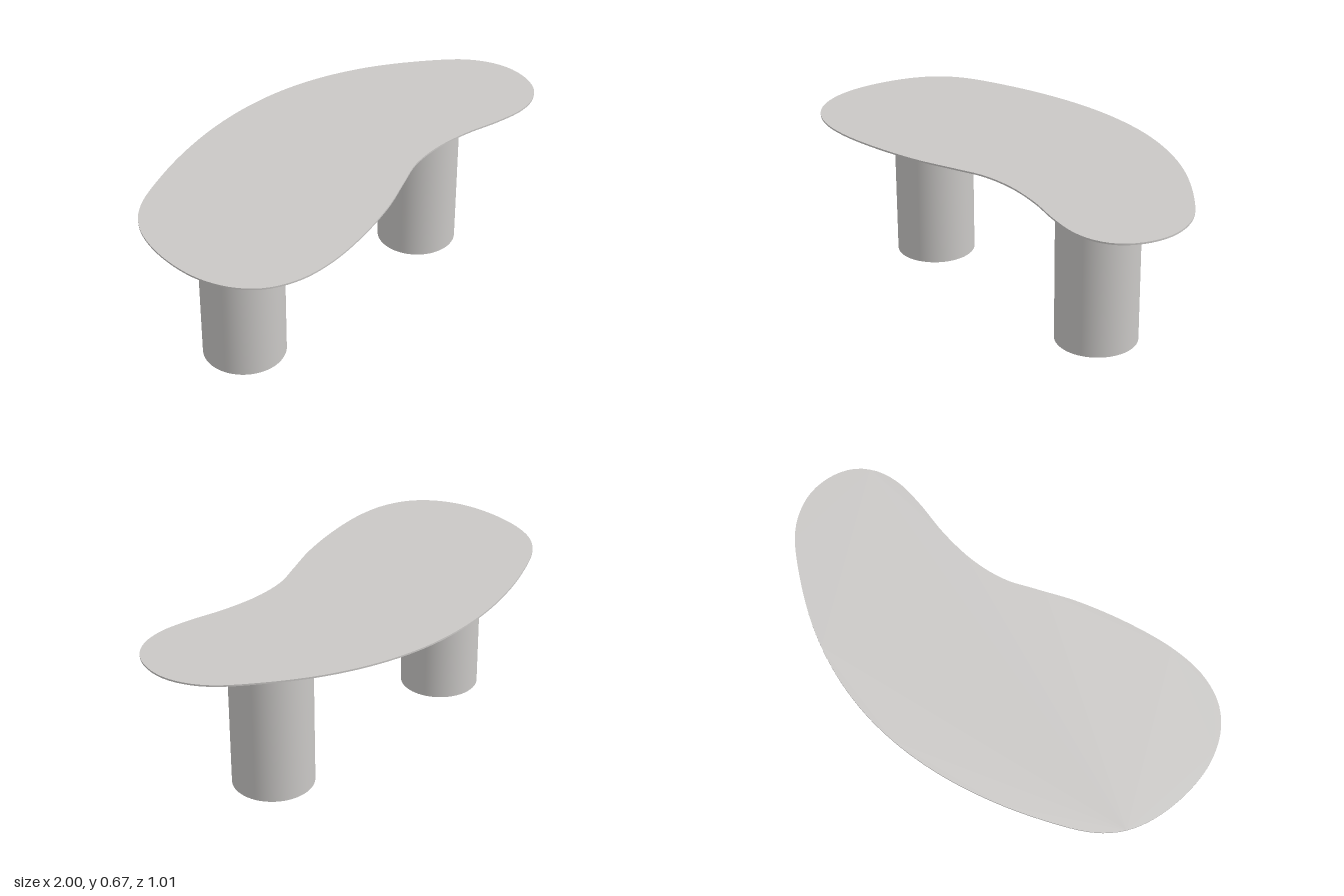
import * as THREE from 'three';

const SEGMENTS = 160;

// Kidney-shaped outline of the table top as (x, z) points
const OUTLINE = [
  [0, -0.507], [0.2, -0.488], [0.4, -0.433], [0.6, -0.338], [0.8, -0.195],
  [0.93, -0.07], [0.985, 0.035], [1, 0.13], [0.98, 0.23], [0.93, 0.31],
  [0.85, 0.36], [0.75, 0.376], [0.62, 0.358], [0.45, 0.316], [0.28, 0.297],
  [0.13, 0.312], [0, 0.36], [-0.17, 0.425], [-0.4, 0.481], [-0.6, 0.503],
  [-0.75, 0.487], [-0.87, 0.43], [-0.95, 0.335], [-0.994, 0.2], [-0.992, 0.03],
  [-0.95, -0.13], [-0.89, -0.23], [-0.8, -0.307], [-0.6, -0.396],
  [-0.4, -0.458], [-0.2, -0.496],
];

export function createModel() {
  const model = new THREE.Group();
  const material = new THREE.MeshStandardMaterial({ color: 0xcac8c6 });
  material.name = 'warmLightGrey';

  const add = (name, geometry, parent) => {
    const mesh = new THREE.Mesh(geometry, material);
    mesh.name = name;
    parent.add(mesh);
    return mesh;
  };

  const curve = new THREE.CatmullRomCurve3(
    OUTLINE.map(([x, z]) => new THREE.Vector3(x, 0, z)), true, 'centripetal');

  // Outline moved inwards by a given distance, at height y
  const ring = (inset, y) => Array.from({ length: SEGMENTS }, (_, i) => {
    const p = curve.getPointAt(i / SEGMENTS);
    const t = curve.getTangentAt(i / SEGMENTS);
    return new THREE.Vector3(p.x - t.z * inset, y, p.z + t.x * inset);
  });

  // Side wall between two rings
  const band = (upper, lower) => {
    const index = [];
    for (let i = 0; i < SEGMENTS; i++) {
      const j = (i + 1) % SEGMENTS;
      index.push(i, j, SEGMENTS + i, j, SEGMENTS + j, SEGMENTS + i);
    }
    const geometry = new THREE.BufferGeometry().setFromPoints([...upper, ...lower]);
    geometry.setIndex(index);
    geometry.computeVertexNormals();
    return geometry;
  };

  // Flat face filling a ring; side is 1 for upwards, -1 for downwards
  const cap = (points, side) => {
    const shape = new THREE.Shape(points.map((p) => new THREE.Vector2(p.x, -side * p.z)));
    return new THREE.ShapeGeometry(shape)
      .rotateX(-side * Math.PI / 2)
      .translate(0, points[0].y, 0);
  };

  // Table top with a thin rim and an undercut edge
  const top = new THREE.Group();
  top.name = 'tableTop';
  model.add(top);
  const upper = ring(0, 0.67);
  const rim = ring(0, 0.663);
  const under = ring(0.075, 0.63);
  add('topSurface', cap(upper, 1), top);
  add('topRim', band(upper, rim), top);
  add('topBevel', band(rim, under), top);
  add('topUnderside', cap(under, -1), top);

  // Two cylindrical legs
  for (const [name, x] of [['rightLeg', -0.595], ['leftLeg', 0.5]]) {
    add(name, new THREE.CylinderGeometry(0.172, 0.172, 0.63, 64), model)
      .position.set(x, 0.315, 0.027);
  }

  return model;
}
